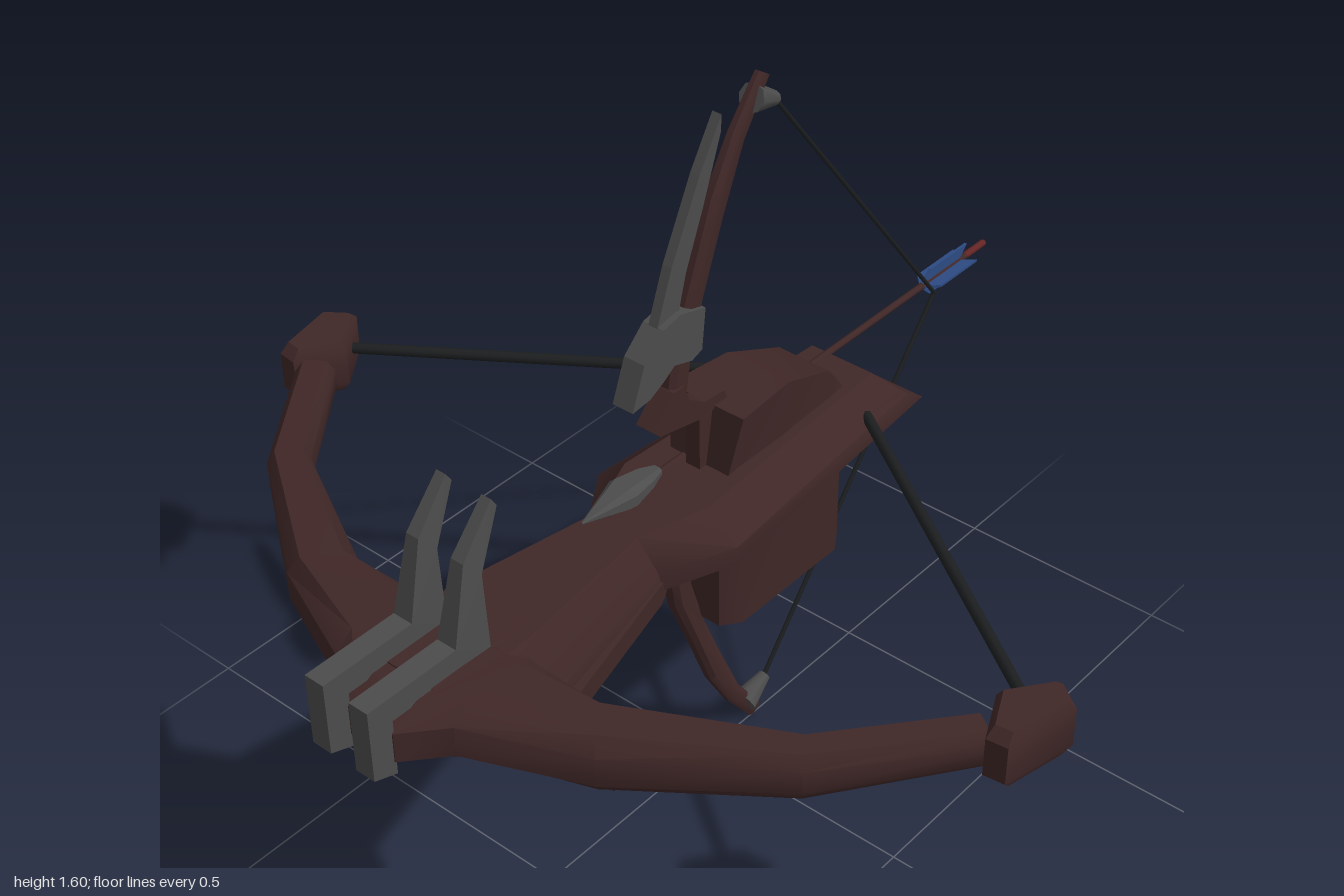
import * as THREE from 'three';
import { toCreasedNormals } from 'three/addons/utils/BufferGeometryUtils.js';

const V = (x, y, z) => new THREE.Vector3(x, y, z);
const mat = (name, color) => Object.assign(new THREE.MeshStandardMaterial({ color }), { name });

// Closed, capped skin through rings of equal length; winding is corrected to face outward
function loft(rings) {
  const tris = [], n = rings[0].length;
  const mid = (r) => r.reduce((s, p) => s.add(p), V(0, 0, 0)).divideScalar(n);
  const first = rings[0], last = rings[rings.length - 1];
  const a = mid(first), b = mid(last);
  for (let j = 0; j < n; j++) {
    const k = (j + 1) % n;
    for (let i = 0; i < rings.length - 1; i++) {
      const p = rings[i], q = rings[i + 1];
      tris.push([p[j], p[k], q[k]], [p[j], q[k], q[j]]);
    }
    tris.push([a, first[k], first[j]], [b, last[j], last[k]]);
  }
  let volume = 0;
  for (const [p, q, r] of tris) volume += p.clone().sub(a).dot(q.clone().sub(a).cross(r.clone().sub(a)));
  const points = tris.flatMap(([p, q, r]) => (volume < 0 ? [p, r, q] : [p, q, r]));
  const g = new THREE.BufferGeometry().setFromPoints(points);
  return toCreasedNormals(g, 0.7);
}

// Chamfered ring spanning outer to inner, with half thickness h along axis
const OCT = [[1, 0.5], [0.6, 1], [-0.6, 1], [-1, 0.5], [-1, -0.5], [-0.6, -1], [0.6, -1], [1, -0.5]];
function ring(outer, inner, axis, h) {
  const c = outer.clone().add(inner).multiplyScalar(0.5);
  const u = outer.clone().sub(c);
  return OCT.map(([s, t]) => c.clone().addScaledVector(u, s).addScaledVector(axis, t * h));
}

// Stack of scaled copies of an x/z outline: layers are [y, scale]
function stack(outline, layers) {
  const n = outline.length;
  const cx = outline.reduce((s, p) => s + p[0], 0) / n, cz = outline.reduce((s, p) => s + p[1], 0) / n;
  return loft(layers.map(([y, s]) => outline.map(([x, z]) => V(cx + (x - cx) * s, y, cz + (z - cz) * s))));
}

// Side profile of [z, y] points extruded across x
function plate(points, width, x = 0) {
  const shape = new THREE.Shape(points.map(([z, y]) => new THREE.Vector2(z, y)));
  const g = new THREE.ExtrudeGeometry(shape, { depth: width, bevelEnabled: false });
  return g.translate(0, 0, -width / 2).rotateY(-Math.PI / 2).translate(x, 0, 0);
}

function rod(a, b, r0, r1 = r0, sides = 8) {
  const d = b.clone().sub(a);
  const g = new THREE.CylinderGeometry(r1, r0, d.length(), sides);
  g.applyQuaternion(new THREE.Quaternion().setFromUnitVectors(V(0, 1, 0), d.clone().normalize()));
  return g.translate((a.x + b.x) / 2, (a.y + b.y) / 2, (a.z + b.z) / 2);
}

export function createModel() {
  const model = new THREE.Group();
  model.name = 'doubleCrossbow';
  const wood = mat('dark wood', 0x402727);
  const metal = mat('grey metal', 0x4c4c4c);
  const cord = mat('black cord', 0x1c1e1f);
  const red = mat('red shaft', 0x652526);
  const blue = mat('blue feather', 0x2c4a82);
  const add = (name, geometry, material) => {
    const m = new THREE.Mesh(geometry, material);
    m.name = name;
    model.add(m);
    return m;
  };

  // Stock: [z top, z bottom, half width, bottom, top]
  const stock = [
    [-0.43, -0.545, 0.13, 0.71, 0.81], [0.13, 0.13, 0.18, 0.705, 0.81],
    [0.28, 0.25, 0.095, 0.67, 0.8], [0.6, 0.6, 0.17, 0.67, 0.81], [0.8, 0.8, 0.2, 0.69, 0.82],
  ].map(([zt, zb, w, b, t]) => [
    V(w * 0.6, t, zt), V(-w * 0.6, t, zt), V(-w, b + (t - b) * 0.4, (zt + zb) / 2),
    V(-w, b, zb), V(w, b, zb), V(w, b + (t - b) * 0.4, (zt + zb) / 2),
  ]);
  add('stock', loft(stock), wood);

  // Flared plate under the bow
  const flare = [[0.2, 0.08, 0.685], [0.26, 0.1, 0.645], [0.6, 0.19, 0.645], [0.66, 0.31, 0.645], [0.7, 0.37, 0.645]];
  add('underPlate', loft(flare.map(([z, w, b]) => [V(w, 0.695, z), V(-w, 0.695, z), V(-w, b, z), V(w, b, z)])), wood);

  // Raised wedge where the stock meets the bow
  add('frontWedge', loft([[0.4, 0.025, 0.8], [0.67, 0.075, 0.825], [0.85, 0.08, 0.825]].map(([z, w, t]) =>
    [V(w, t, z), V(-w, t, z), V(-w * 1.5, 0.76, z), V(w * 1.5, 0.76, z)])), wood);

  // Magazine below and housing above the stock
  const box = [[0.06, 0.04], [0.09, 0.0], [0.09, -0.31], [0.06, -0.355],
    [-0.06, -0.355], [-0.09, -0.31], [-0.09, 0.0], [-0.06, 0.04]];
  add('magazine', stack(box, [[0.42, 1], [0.72, 1]]), wood);
  add('housing', loft([[0.035, 0.01, 0.07, 0.095, 0.945], [-0.15, -0.15, 0.07, 0.08, 0.94],
    [-0.31, -0.3, 0.065, 0.065, 0.88], [-0.36, -0.355, 0.06, 0.06, 0.81]].map(([zb, zt, wb, wt, t]) =>
    [V(wt, t, zt), V(-wt, t, zt), V(-wb, 0.78, zb), V(wb, 0.78, zb)])), wood);

  // Horizontal bow: [outer x, outer z, inner x, inner z, half height]
  const half = [[0.08, 0.95, 0.08, 0.64, 0.067], [0.15, 0.87, 0.14, 0.655, 0.067], [0.39, 0.77, 0.31, 0.66, 0.065],
    [0.68, 0.56, 0.63, 0.49, 0.052], [0.89, 0.29, 0.82, 0.245, 0.04]];
  const bowRing = (s) => ([ox, oz, ix, iz, h]) => ring(V(s * ox, 0.755, oz), V(s * ix, 0.755, iz), V(0, 1, 0), h);
  add('horizontalBow', loft([...half.map(bowRing(-1)).reverse(), ...half.map(bowRing(1))]), wood);

  for (const s of [1, -1]) {
    const side = s > 0 ? 'left' : 'right';
    // Bow tip block and its string
    const tip = [[0.96, 0.14], [0.905, 0.1], [0.83, 0.2], [0.88, 0.305], [0.925, 0.3]].map(([x, z]) => [s * x, z]);
    add(side + 'BowTip', stack(tip, [[0.69, 0.78], [0.712, 1], [0.798, 1], [0.82, 0.78]]), wood);
    add(side + 'BowString', rod(V(s * 0.88, 0.76, 0.16), V(s * 0.12, 0.76, -0.36), 0.012), cord);
    // Upright metal prong hooked over the bow front
    const prong = [[1, 0.87], [1, 0.71], [0.945, 0.69], [0.945, 0.815], [0.7, 0.815], [0.705, 0.99],
      [0.652, 1.11], [0.665, 1.13], [0.745, 1.035], [0.785, 0.87]].reverse();
    const g = plate(prong, 0.046, s * 0.055);
    const p = g.attributes.position;
    for (let i = 0; i < p.count; i++) {
      const k = 1 - 0.5 * THREE.MathUtils.smoothstep(p.getY(i), 0.87, 1.13);
      p.setX(i, s * 0.055 + (p.getX(i) - s * 0.055) * k);
    }
    g.computeVertexNormals();
    add(side + 'Prong', g, metal);
  }

  // Vertical bow, limbs mirrored about the arrow height
  const axisY = 0.805;
  const limb = [[0.13, 1.03, 0.08, 1.0, 0.022], [0.115, 1.12, 0.065, 1.09, 0.022], [0.06, 1.25, 0.03, 1.2, 0.02],
    [0.0, 1.4, -0.03, 1.34, 0.017], [-0.065, 1.51, -0.095, 1.48, 0.013], [-0.14, 1.605, -0.172, 1.585, 0.009]];
  const grip = [[0.19, 0.98], [0.17, 0.96], [0.05, 0.935], [-0.03, 0.94], [-0.02, 0.965],
    [0.04, 0.97], [0.085, 1.0], [0.1, 1.04], [0.13, 1.04]];
  for (const s of [1, -1]) {
    const end = s > 0 ? 'upper' : 'lower';
    const Y = (y) => axisY + s * (y - axisY);
    add(end + 'Limb', loft(limb.map(([oz, oy, iz, iy, h]) =>
      ring(V(-0.004, Y(oy), oz), V(-0.004, Y(iy), iz), V(1, 0, 0), h))), wood);
    add(end + 'GripEnd', plate(grip.map(([z, y]) => [z, Y(y)]), 0.044), wood);
    add(end + 'Cam', rod(V(-0.004, Y(1.555), -0.125), V(-0.004, Y(1.525), -0.195), 0.03, 0.014), metal);
    add(end + 'String', rod(V(-0.005, Y(1.53), -0.19), V(-0.005, axisY, -0.765), 0.005, 0.005, 6), cord);
  }
  const riser = new THREE.BoxGeometry(0.036, 0.3, 0.05).translate(0, axisY, 0.025);
  add('riser', riser, wood);

  // Metal blade clamped to the upper limb
  add('bladeClamp', plate([[0.25, 1.06], [0.2, 1.065], [0.16, 1.085], [0.13, 1.105], [0.08, 1.09], [0.05, 1.1],
    [0.04, 1.19], [0.11, 1.21], [0.16, 1.2], [0.215, 1.15]], 0.05), metal);
  add('blade', plate([[0.165, 1.19], [0.105, 1.19], [0.08, 1.28], [0.03, 1.4], [-0.02, 1.535],
    [-0.022, 1.57], [0.04, 1.47], [0.12, 1.31]], 0.022), metal);

  // Arrow
  const ax = -0.04;
  add('arrowShaft', rod(V(ax, axisY, -0.93), V(ax, axisY, 0.16), 0.008), wood);
  add('arrowNock', rod(V(ax, axisY, -1), V(ax, axisY, -0.92), 0.008), red);
  const head = [[0.11, 0.012], [0.15, 0.026], [0.21, 0.036], [0.33, 0.002]];
  add('arrowHead', loft(head.map(([z, r]) =>
    ring(V(ax + r, 0.815, z), V(ax - r, 0.815, z), V(0, 1, 0), r * 0.75))), metal);
  for (let i = 0; i < 4; i++) {
    const g = plate([[-0.93, 0.032], [-0.905, 0.004], [-0.765, 0.004], [-0.795, 0.032]], 0.006);
    g.rotateZ(i * Math.PI / 2).translate(ax, axisY, 0);
    add('arrowFeather' + (i + 1), g, blue);
  }
  return model;
}
